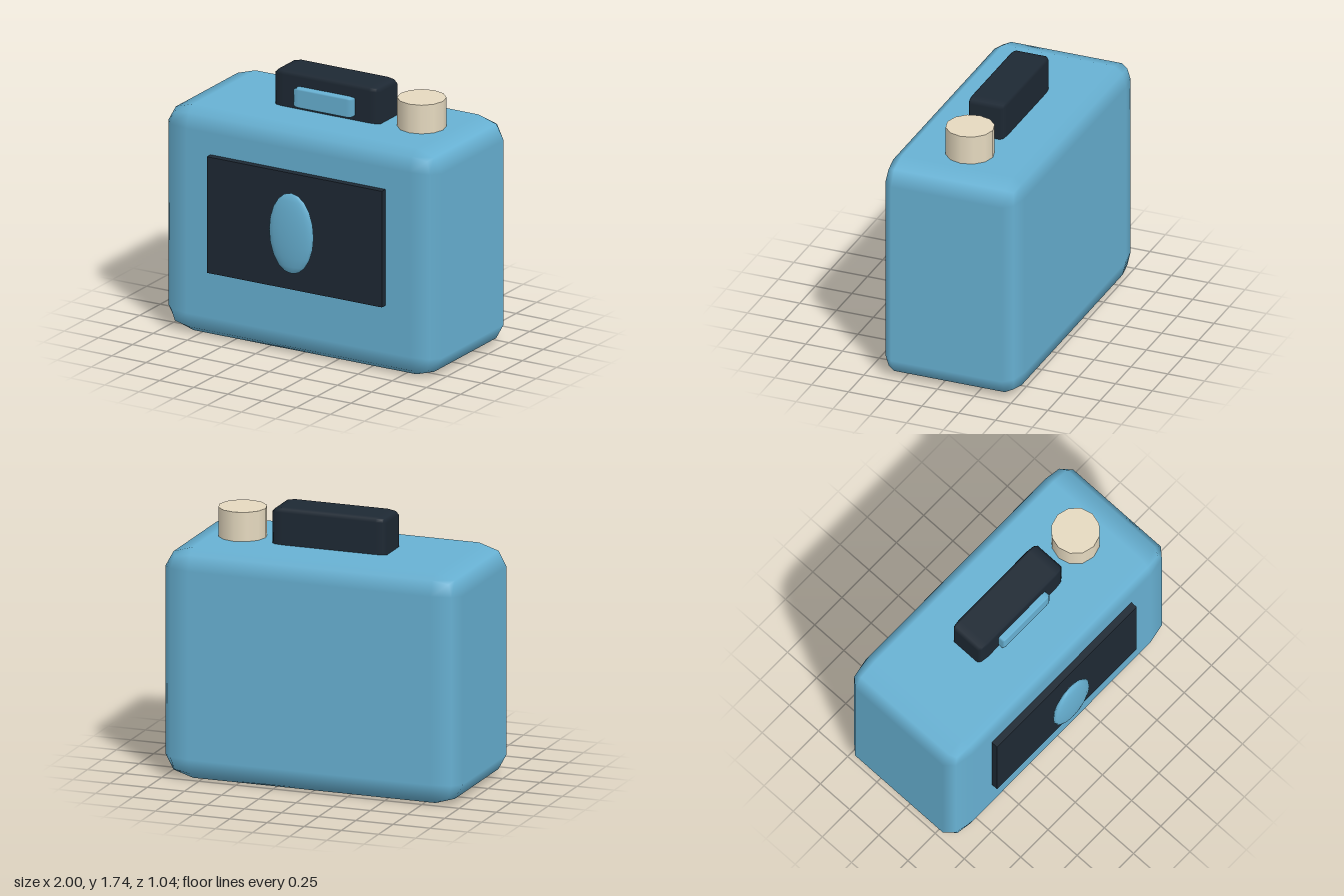
import * as THREE from 'three';
import { RoundedBoxGeometry } from 'three/addons/geometries/RoundedBoxGeometry.js';

const blue = new THREE.MeshStandardMaterial({ color: 0x68b2d4 });
const dark = new THREE.MeshStandardMaterial({ color: 0x1e2934 });
const cream = new THREE.MeshStandardMaterial({ color: 0xe6dac0 });

// Unit box with a two-step bevel, stretched between two corners so the bevel scales too
function softBox(min, max, bevel) {
  const geometry = new RoundedBoxGeometry(1, 1, 1, 1, bevel);
  geometry.scale(max[0] - min[0], max[1] - min[1], max[2] - min[2]);
  geometry.translate((min[0] + max[0]) / 2, (min[1] + max[1]) / 2, (min[2] + max[2]) / 2);
  return geometry;
}

export function createModel() {
  const model = new THREE.Group();
  model.name = 'camera';

  function add(name, geometry, material, x = 0, y = 0, z = 0) {
    const mesh = new THREE.Mesh(geometry, material);
    mesh.name = name;
    mesh.position.set(x, y, z);
    model.add(mesh);
  }

  // Main case
  add('body', softBox([-1, 0, -0.52], [1, 1.5, 0.4], 0.092), blue);

  // Front plate with its oval lens
  add('frontPanel', new THREE.BoxGeometry(1.28, 0.77, 0.1), dark, 0, 0.835, 0.395);
  const lens = new THREE.SphereGeometry(1, 16, 10);
  lens.scale(0.163, 0.267, 0.037);
  add('lens', lens, blue, 0, 0.837, 0.482);

  // Viewfinder housing, sunk into the top of the case, and its window
  add('viewfinder', softBox([-0.385, 1.4, -0.188], [0.385, 1.74, 0.06], 0.092), dark);
  add('viewfinderWindow', softBox([-0.217, 1.522, 0], [0.213, 1.652, 0.105], 0.092), blue);

  // Shutter button
  add('shutterButton', new THREE.CylinderGeometry(0.155, 0.155, 0.25, 12), cream, 0.625, 1.565, -0.065);

  return model;
}
